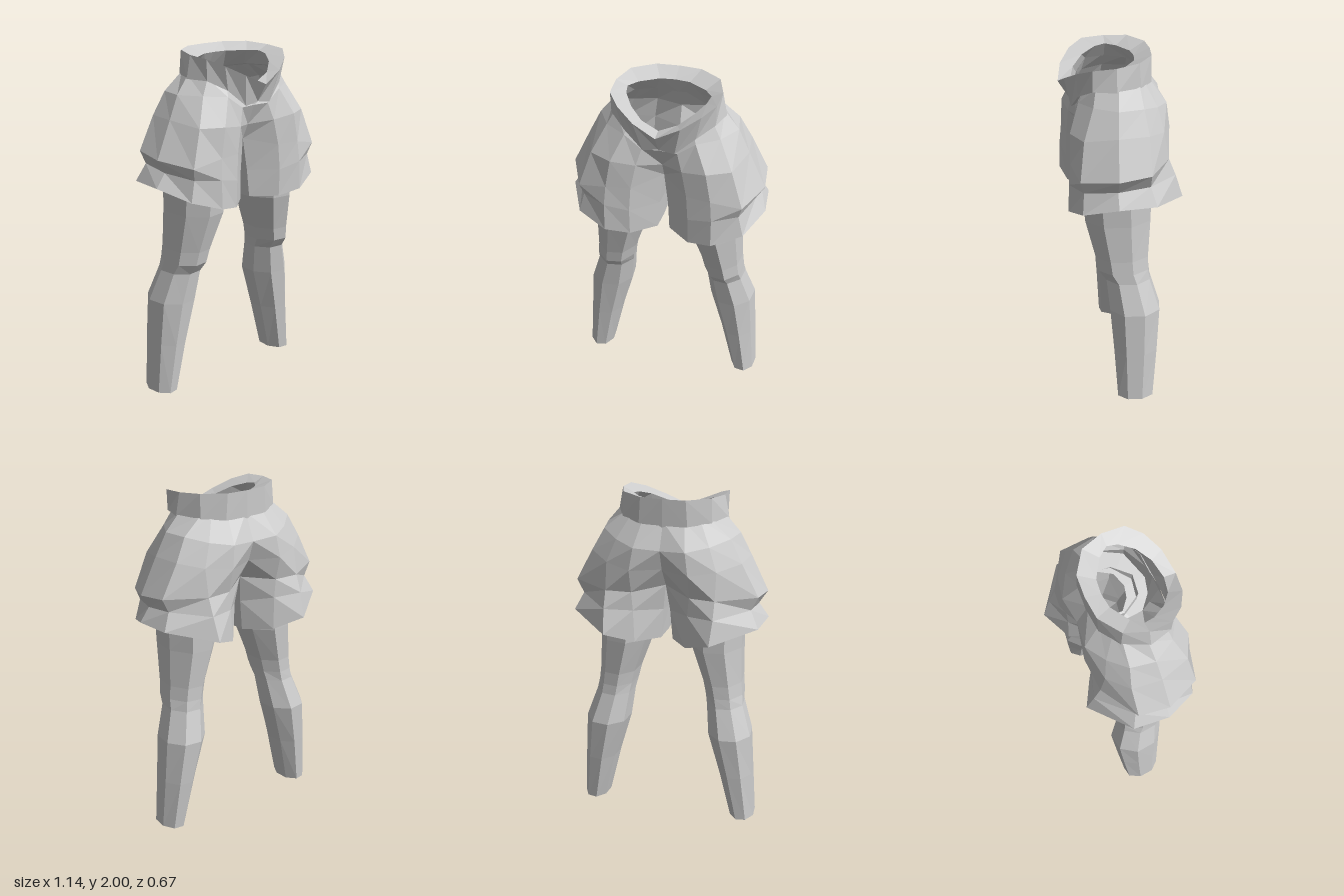
import * as THREE from 'three';

const cloth = new THREE.MeshStandardMaterial({ color: 0xcccccc, flatShading: true, side: THREE.DoubleSide });
cloth.name = 'light grey';

// Skin a stack of cross-sections; side = -1 mirrors across x
function loft(name, rings, closed, side) {
  const n = rings[0].length, pos = [], idx = [];
  rings.forEach(r => r.forEach(([x, y, z]) => pos.push(x * side, y, z)));
  for (let r = 0; r < rings.length - 1; r++) {
    for (let i = 0; i < (closed ? n : n - 1); i++) {
      const j = (i + 1) % n;
      const a = r * n + i, b = r * n + j, c = a + n, d = b + n;
      if (side > 0) idx.push(a, b, d, a, d, c);
      else idx.push(a, d, b, a, c, d);
    }
  }
  const indexed = new THREE.BufferGeometry();
  indexed.setAttribute('position', new THREE.Float32BufferAttribute(pos, 3));
  indexed.setIndex(idx);
  const geo = indexed.toNonIndexed();
  geo.computeVertexNormals();
  const mesh = new THREE.Mesh(geo, cloth);
  mesh.name = name;
  return mesh;
}

// Shorts sections for one side, running front centre > outside > back centre > inner thigh
const hem = [[0.035, 1.14, 0.17], [0.17, 1.14, 0.28], [0.31, 1.165, 0.315], [0.48, 1.22, 0.25], [0.57, 1.28, 0.06],
  [0.55, 1.28, -0.15], [0.31, 1.22, -0.335], [0.15, 1.16, -0.25], [0.035, 1.14, -0.1], [0.03, 1.14, 0.04]];
const fold = [[0.025, 1.3, 0.16], [0.17, 1.3, 0.285], [0.31, 1.33, 0.31], [0.45, 1.34, 0.24], [0.51, 1.36, 0.06],
  [0.5, 1.38, -0.12], [0.32, 1.36, -0.29], [0.16, 1.35, -0.24], [0.02, 1.32, -0.1], [0.02, 1.3, 0.03]];
const crotch = [[0, 1.49, 0.15], [0.16, 1.45, 0.28], [0.3, 1.45, 0.3], [0.47, 1.41, 0.26], [0.56, 1.44, 0.06],
  [0.54, 1.46, -0.12], [0.32, 1.46, -0.25], [0.17, 1.46, -0.24], [0, 1.48, -0.12], [0, 1.46, 0.02]];
const hips = [[0, 1.58, 0.19], [0.13, 1.6, 0.27], [0.27, 1.62, 0.295], [0.4, 1.62, 0.23], [0.46, 1.65, 0.05],
  [0.44, 1.65, -0.12], [0.32, 1.62, -0.22], [0.17, 1.6, -0.275], [0, 1.6, -0.2]];
const seat = [[0, 1.7, 0.24], [0.1, 1.7, 0.25], [0.2, 1.77, 0.24], [0.32, 1.78, 0.17], [0.395, 1.78, 0.04],
  [0.37, 1.78, -0.1], [0.27, 1.75, -0.19], [0.15, 1.73, -0.26], [0, 1.72, -0.24]];
const waist = [[0, 1.75, 0.24], [0.1, 1.74, 0.23], [0.18, 1.82, 0.21], [0.27, 1.87, 0.15], [0.31, 1.88, 0.03],
  [0.25, 1.88, -0.09], [0.2, 1.88, -0.12], [0.12, 1.87, -0.16], [0, 1.87, -0.17]];

// Underside closes the hem in towards the thigh
const legCentre = [0.275, 1.24, 0.03];
const underside = hem.map(p => p.map((v, k) => v + (legCentre[k] - v) * 0.5));

// Waistband sections, front centre > back centre
const bandBottom = [[0, 1.725, 0.27], [0.09, 1.71, 0.27], [0.2, 1.805, 0.24], [0.29, 1.86, 0.17],
  [0.325, 1.86, 0.04], [0.26, 1.86, -0.1], [0.14, 1.85, -0.175], [0, 1.84, -0.185]];
const bandTop = [[0, 1.83, 0.335], [0.13, 1.89, 0.31], [0.23, 1.945, 0.25], [0.295, 1.98, 0.17],
  [0.3, 1.99, 0.04], [0.255, 2, -0.09], [0.13, 2, -0.175], [0, 2, -0.185]];
const bandInner = [[0, 1.84, 0.265], [0.1, 1.875, 0.24], [0.175, 1.92, 0.18], [0.225, 1.95, 0.1],
  [0.235, 1.96, 0.04], [0.19, 1.96, -0.02], [0.085, 1.96, -0.085], [0, 1.96, -0.095]];
const bandUnder = bandBottom.map(([x, y, z]) => [x * 0.9, y + 0.01, 0.03 + (z - 0.03) * 0.88]);

// Leg sections: y, centre x, centre z, radius x, radius z
const legRings = [
  [0, 0.475, -0.05, 0.077, 0.112],
  [0.3, 0.43, -0.055, 0.105, 0.135],
  [0.56, 0.385, -0.055, 0.135, 0.155],
  [0.74, 0.345, -0.02, 0.115, 0.135],
  [0.8, 0.335, 0.005, 0.117, 0.155],
  [0.88, 0.322, 0.012, 0.122, 0.162],
  [1.1, 0.28, 0.03, 0.158, 0.2],
  [1.25, 0.275, 0.035, 0.165, 0.21],
].map(([y, cx, cz, rx, rz]) => Array.from({ length: 8 }, (_, i) => {
  const t = (i + 0.35) * Math.PI / 4;
  return [cx + rx * Math.sin(t), y, cz + rz * Math.cos(t)];
}));

export function createModel() {
  const model = new THREE.Group();
  model.name = 'shortsAndLegs';
  for (const side of [1, -1]) {
    const half = new THREE.Group();
    half.name = side > 0 ? 'leftHalf' : 'rightHalf';
    half.add(
      loft('shortsLeg', [underside, hem, fold, crotch], true, side),
      loft('shortsHip', [crotch.slice(0, 9), hips, seat, waist], false, side),
      loft('waistband', [bandUnder, bandBottom, bandTop, bandInner, bandUnder], false, side),
      loft('leg', legRings, true, side),
    );
    model.add(half);
  }
  return model;
}
